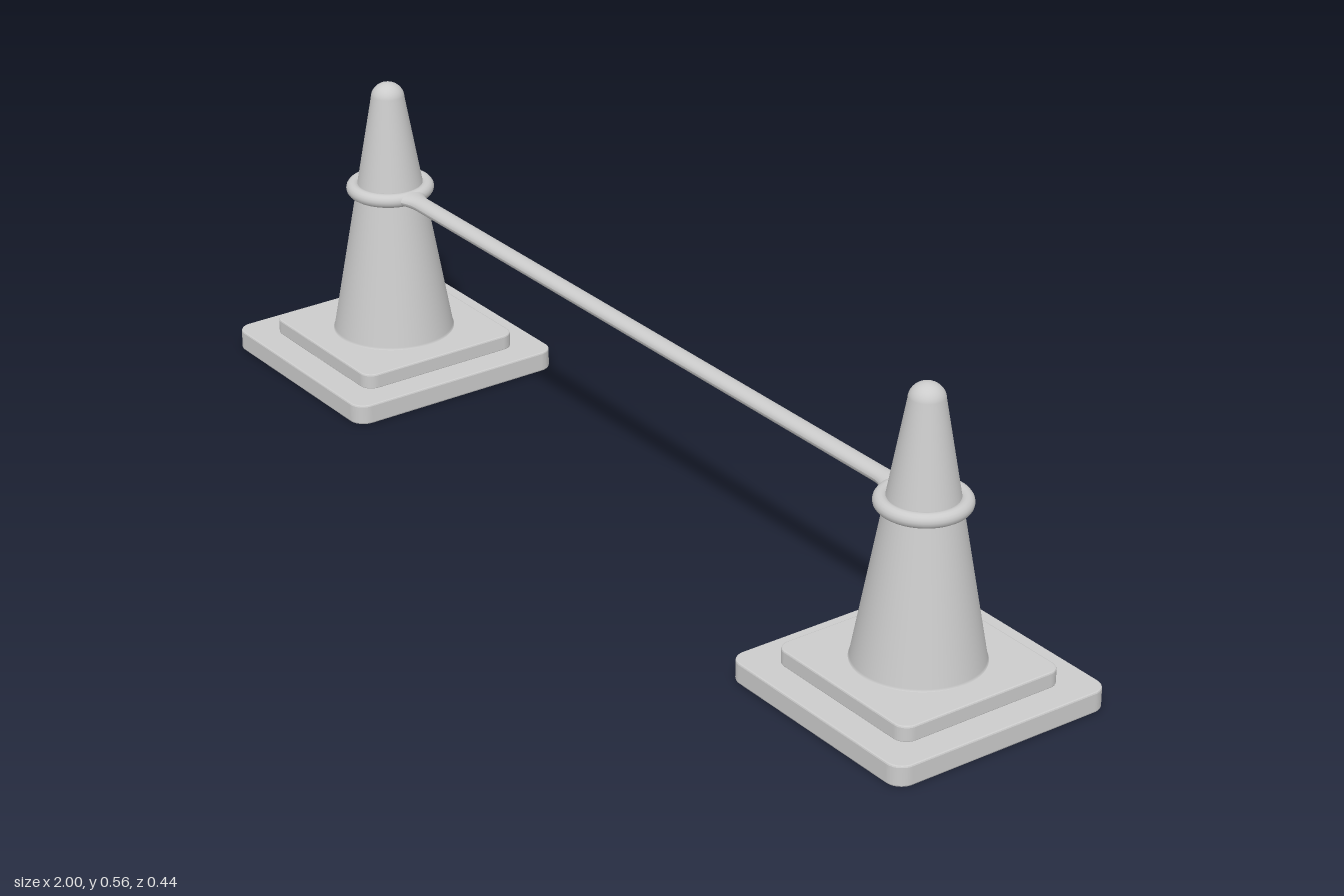
import * as THREE from 'three';

const material = new THREE.MeshStandardMaterial({ color: 0xcccccc });

function part(name, geometry, parent) {
  const mesh = new THREE.Mesh(geometry, material);
  mesh.name = name;
  parent.add(mesh);
  return mesh;
}

// Square slab with rounded corners and a fine bevel, lying from y0 to y1
function slab(half, corner, y0, y1) {
  const b = 0.003, h = half - b, r = corner - b;
  const s = new THREE.Shape();
  s.absarc(h - r, h - r, r, 0, Math.PI / 2);
  s.absarc(r - h, h - r, r, Math.PI / 2, Math.PI);
  s.absarc(r - h, r - h, r, Math.PI, Math.PI * 1.5);
  s.absarc(h - r, r - h, r, Math.PI * 1.5, Math.PI * 2);
  return new THREE.ExtrudeGeometry(s, {
    depth: y1 - y0 - 2 * b, bevelThickness: b, bevelSize: b, bevelSegments: 2, curveSegments: 8,
  }).rotateX(-Math.PI / 2).translate(0, y0 + b, 0);
}

// Tapered body with a small foot fillet and a domed tip
function coneBody() {
  const points = [[0.117, 0.064], [0.114, 0.066], [0.112, 0.07], [0.0312, 0.53]]
    .map(([r, y]) => new THREE.Vector2(r, y));
  for (let i = 1; i <= 10; i++) {
    const a = (i / 10) * Math.PI / 2;
    points.push(new THREE.Vector2(0.0312 * Math.cos(a), 0.53 + 0.029 * Math.sin(a)));
  }
  return new THREE.LatheGeometry(points, 64);
}

// Flattened round bar that widens where it meets each ring
function barGeometry(end) {
  const g = new THREE.CylinderGeometry(1, 1, 2 * end, 24, 120).rotateZ(Math.PI / 2);
  const p = g.attributes.position;
  for (let i = 0; i < p.count; i++) {
    const x = p.getX(i);
    const flare = Math.max(0, 1 - (end - Math.abs(x)) / 0.045);
    p.setY(i, p.getY(i) * 0.0125);
    p.setZ(i, p.getZ(i) * (0.0175 + 0.016 * flare * flare));
  }
  g.computeVertexNormals();
  return g;
}

export function createModel() {
  const model = new THREE.Group();
  model.name = 'coneBarrier';
  const ringY = 0.351, coneX = 0.781;

  for (const side of [-1, 1]) {
    const cone = new THREE.Group();
    cone.name = side > 0 ? 'leftCone' : 'rightCone';
    cone.position.x = side * coneX;
    part('basePlate', slab(0.219, 0.03, 0, 0.038), cone);
    part('baseStep', slab(0.165, 0.025, 0.036, 0.066), cone);
    part('coneBody', coneBody(), cone);
    // Loop of the bar hanging around the cone
    const ring = part('barRing', new THREE.TorusGeometry(0.069, 0.013, 16, 64).rotateX(Math.PI / 2), cone);
    ring.position.y = ringY;
    model.add(cone);
  }

  part('bar', barGeometry(coneX - 0.066), model).position.y = ringY;
  return model;
}
